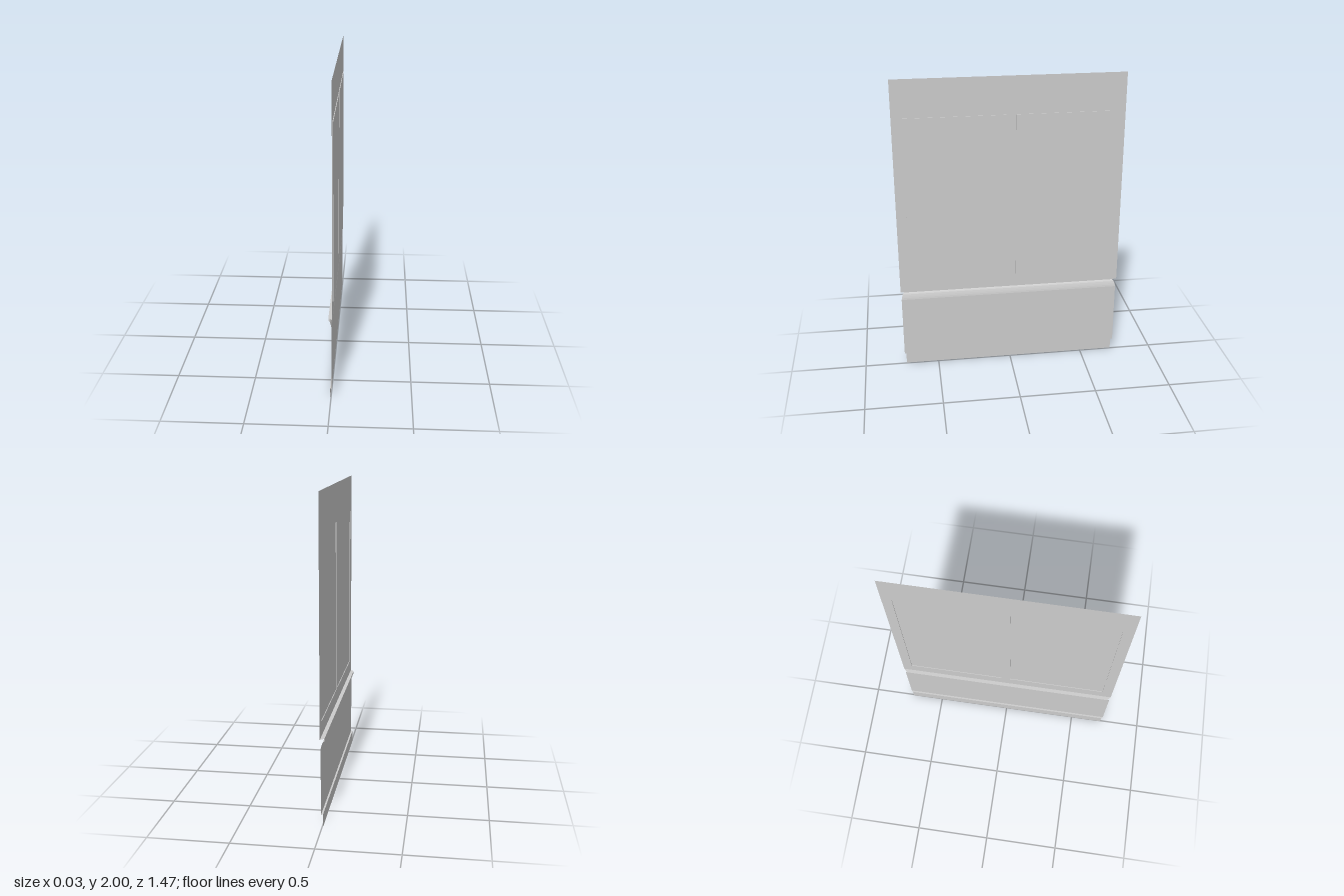
import * as THREE from 'three';

const material = new THREE.MeshStandardMaterial({ color: 0xcccccc, side: THREE.DoubleSide });

const HALF = 0.735;    // half length at the wall face
const WALL_X = 0.01;   // plane of the upper wall
const PANEL_X = 0.014; // plane of the raised panels

// Flat mesh from a list of four-cornered faces, corners counter-clockwise from outside
function quadMesh(name, quads) {
  const points = quads.flatMap(([a, b, c, d]) => [a, b, c, a, c, d]);
  const geometry = new THREE.BufferGeometry();
  geometry.setAttribute('position', new THREE.Float32BufferAttribute(points.flat(), 3));
  geometry.computeVertexNormals();
  const mesh = new THREE.Mesh(geometry, material);
  mesh.name = name;
  return mesh;
}

// Moulding swept along z with 45 degree mitred ends; profile is [x, y] from top to bottom
function moulding(name, profile) {
  const end = (x) => HALF - (WALL_X - x);
  const quads = [];
  for (let i = 0; i < profile.length - 1; i++) {
    const [x0, y0] = profile[i];
    const [x1, y1] = profile[i + 1];
    quads.push([[x0, y0, end(x0)], [x1, y1, end(x1)], [x1, y1, -end(x1)], [x0, y0, -end(x0)]]);
  }
  return quadMesh(name, quads);
}

// Corners of a panel, counter-clockwise seen from +x
const corners = ({ z0, z1, y0, y1 }, x) => [[x, y1, z1], [x, y0, z1], [x, y0, z0], [x, y1, z0]];

// Raised panel, open at the back
function raisedPanel(name, panel) {
  const base = corners(panel, WALL_X);
  const face = corners(panel, PANEL_X);
  const sides = base.map((p, i) => {
    const j = (i + 1) % 4;
    return [p, base[j], face[j], face[i]];
  });
  return quadMesh(name, [face, ...sides]);
}

export function createModel() {
  const group = new THREE.Group();
  group.name = 'wallPanelling';

  const panels = [
    { z0: -0.672, z1: -0.038, y0: 0.65, y1: 1.755 },
    { z0: 0.022, z1: 0.668, y0: 0.65, y1: 1.755 },
  ];

  // Upper wall sheet with an opening behind each raised panel
  const sheet = new THREE.Shape([
    [-HALF, 0.56], [HALF, 0.56], [HALF, 2], [-HALF, 2],
  ].map(([s, y]) => new THREE.Vector2(s, y)));
  for (const p of panels) {
    sheet.holes.push(new THREE.Path(corners(p, 0).map(([, y, z]) => new THREE.Vector2(-z, y))));
  }
  const wall = new THREE.Mesh(
    new THREE.ShapeGeometry(sheet).rotateY(Math.PI / 2).translate(WALL_X, 0, 0), material);
  wall.name = 'upperWall';
  group.add(wall);

  group.add(raisedPanel('rearPanel', panels[0]), raisedPanel('frontPanel', panels[1]));

  // Shadow groove under the wall, then the stepped and rounded top of the wainscot
  group.add(moulding('groove', [[WALL_X, 0.56], [-0.014, 0.56], [-0.014, 0.545]]));
  group.add(moulding('wainscot', [
    [-0.014, 0.545], [-0.007, 0.541], [-0.003, 0.535], [0.001, 0.523], [0.004, 0.512],
    [0.006, 0.5], [0.006, 0.08], [-0.005, 0.08],
  ]));

  // Recessed skirting at the floor
  group.add(moulding('skirting', [[-0.005, 0.08], [-0.005, 0]]));

  return group;
}
